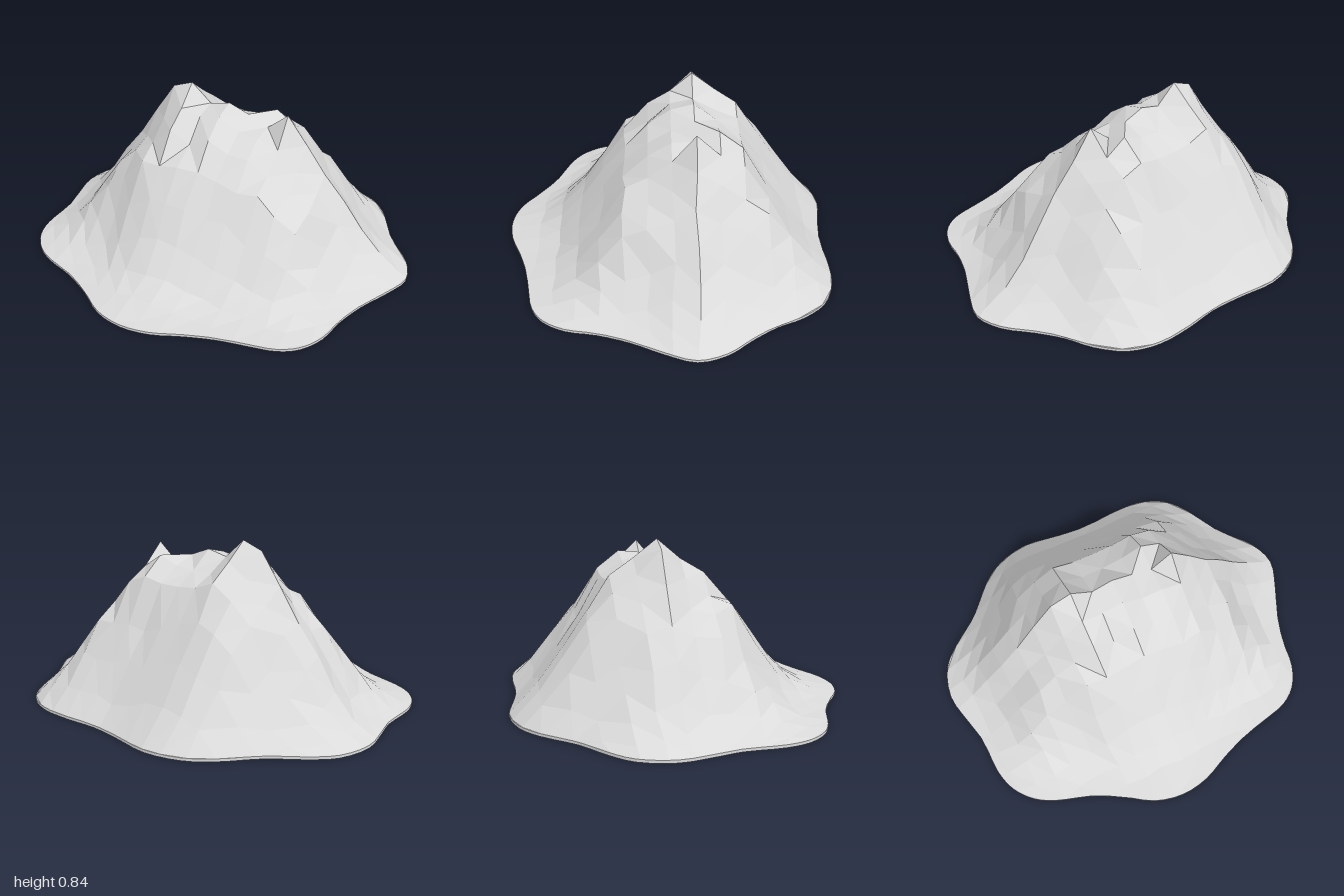
import * as THREE from 'three';

// Shoreline of the mountain foot, as x, z pairs
const FOOT = [
  -0.25, -0.86, -0.43, -0.82, -0.55, -0.74, -0.7, -0.58, -0.85, -0.47, -0.95, -0.37, -1, -0.2, -0.97, -0.03,
  -0.94, 0.1, -0.935, 0.3, -0.9, 0.42, -0.82, 0.52, -0.72, 0.58, -0.55, 0.64, -0.4, 0.72, -0.25, 0.82,
  -0.1, 0.857, 0.05, 0.84, 0.2, 0.78, 0.35, 0.73, 0.5, 0.7, 0.63, 0.67, 0.72, 0.61, 0.785, 0.5,
  0.815, 0.35, 0.87, 0.19, 0.945, 0.04, 1, -0.11, 0.96, -0.25, 0.86, -0.38, 0.78, -0.5, 0.72, -0.63,
  0.62, -0.75, 0.48, -0.81, 0.3, -0.82, 0.13, -0.81, -0.05, -0.83,
];
const SLAB = 0.014;

// Slope profiles from the crest (first) to the foot (last)
const FRONT = [1, 0.94, 0.84, 0.68, 0.47, 0.26, 0.1, 0.04, 0.018];
const LEFT = [1, 0.84, 0.69, 0.55, 0.4, 0.27, 0.16, 0.075, 0.018];
const RIGHT = [1, 0.86, 0.71, 0.56, 0.43, 0.28, 0.14, 0.07, 0.018];
const BACK = [1, 0.95, 0.88, 0.77, 0.59, 0.42, 0.27, 0.13, 0.018];

// Summit heights, one row per grid line from back to front, columns -4 to 4
const SUMMIT = [
  [0.5, 0.6, 0.67, 0.63, 0.62, 0.62, 0.64, 0.6, 0.48],
  [0.57, 0.68, 0.75, 0.68, 0.68, 0.69, 0.73, 0.66, 0.56],
  [0.645, 0.8, 0.84, 0.745, 0.77, 0.73, 0.68, 0.77, 0.63],
  [0.53, 0.66, 0.74, 0.72, 0.74, 0.68, 0.67, 0.63, 0.53],
  [0.5, 0.57, 0.67, 0.61, 0.66, 0.61, 0.6, 0.54, 0.46],
];

function sample(profile, t) {
  const f = Math.min(t, 0.9999) * (profile.length - 1);
  const k = Math.floor(f);
  return THREE.MathUtils.lerp(profile[k], profile[k + 1], f - k);
}

// Repeatable value from -1 to 1 for a grid node
function noise(i, j) {
  const s = Math.sin(i * 127.1 + j * 311.7) * 43758.5453;
  return (s - Math.floor(s)) * 2 - 1;
}

// How much the slope is hollowed on the diagonal it faces
function hollow(dx, dz) {
  const right = dx < 0;
  const depth = dz > 0 ? (right ? 0.18 : 0.1) : (right ? 0.06 : 0.15);
  return 1 - depth * 2 * Math.abs(dx * dz);
}

// Distance from (cx, cz) along a unit direction to the shoreline
function reach(points, cx, cz, dx, dz) {
  let best = 0;
  points.forEach((p, k) => {
    const q = points[(k + 1) % points.length];
    const ex = q.x - p.x, ez = q.y - p.y;
    const det = dx * ez - dz * ex;
    if (Math.abs(det) < 1e-9) return;
    const px = p.x - cx, pz = p.y - cz;
    const u = (px * dz - pz * dx) / det;
    if (u >= -1e-6 && u <= 1 + 1e-6) best = Math.max(best, (px * ez - pz * ex) / det);
  });
  return best;
}

// One terrain node: the crest runs along z = -0.13, the slopes fall to the shoreline
function node(points, i, j) {
  const inner = Math.abs(i) <= 4 && Math.abs(j) <= 2;
  const jitter = inner ? 0 : 0.012;
  const x = -0.02 + 0.109 * i + noise(i, j) * jitter;
  const z = -0.13 + 0.117 * j + noise(j + 40, i) * jitter;
  if (inner) return { p: [x, SUMMIT[j + 2][i + 4], z], edge: false };
  const cx = THREE.MathUtils.clamp(x, -0.36, 0.36), cz = -0.13;
  const d = Math.hypot(x - cx, z - cz);
  const dx = (x - cx) / d, dz = (z - cz) / d;
  const D = reach(points, cx, cz, dx, dz);
  const t = d / D;
  if (t > 0.95) return { p: [cx + dx * D, SLAB, cz + dz * D], edge: true };
  const side = sample(dx < 0 ? RIGHT : LEFT, t);
  const slope = THREE.MathUtils.lerp(side, sample(dz > 0 ? FRONT : BACK, t), dz * dz);
  const top = (0.765 - 0.09 * cx) * hollow(dx, dz);
  const y = top * slope * (1 + 0.03 * noise(i + 9, j + 5));
  return { p: [x, Math.max(y, SLAB + 0.002), z], edge: false };
}

function slopesGeometry(points) {
  const grid = [];
  for (let j = -8; j <= 9; j++) {
    const row = [];
    for (let i = -10; i <= 10; i++) row.push(node(points, i, j));
    grid.push(row);
  }
  const out = [];
  const face = (...corners) => {
    if (!corners.every((c) => c.edge)) corners.forEach((c) => out.push(...c.p));
  };
  for (let j = 0; j < grid.length - 1; j++) {
    for (let i = 0; i < grid[0].length - 1; i++) {
      const a = grid[j][i], b = grid[j][i + 1], c = grid[j + 1][i], d = grid[j + 1][i + 1];
      // Split each cell along the diagonal with the smaller height change
      if (Math.abs(a.p[1] - d.p[1]) < Math.abs(b.p[1] - c.p[1])) {
        face(a, c, d);
        face(a, d, b);
      } else {
        face(a, c, b);
        face(b, c, d);
      }
    }
  }
  const geometry = new THREE.BufferGeometry();
  geometry.setAttribute('position', new THREE.Float32BufferAttribute(out, 3));
  geometry.computeVertexNormals();
  return geometry;
}

export function createModel() {
  const group = new THREE.Group();
  group.name = 'mountain';
  const rock = new THREE.MeshStandardMaterial({ color: 0xdadada, flatShading: true });
  rock.name = 'pale grey rock';

  // Smooth shoreline
  const knots = [];
  for (let k = 0; k < FOOT.length; k += 2) knots.push(new THREE.Vector3(FOOT[k], FOOT[k + 1], 0));
  const curve = new THREE.CatmullRomCurve3(knots, true);
  const points = curve.getPoints(111).slice(0, -1).map((v) => new THREE.Vector2(v.x, v.y));

  // Thin slab under the mountain
  const slab = new THREE.ExtrudeGeometry(new THREE.Shape(points), { depth: SLAB, bevelEnabled: false });
  slab.rotateX(Math.PI / 2).translate(0, SLAB, 0);
  const base = new THREE.Mesh(slab, rock);
  base.name = 'base';

  // Faceted slopes and summit
  const slopes = new THREE.Mesh(slopesGeometry(points), rock);
  slopes.name = 'slopes';

  group.add(base, slopes);
  return group;
}
